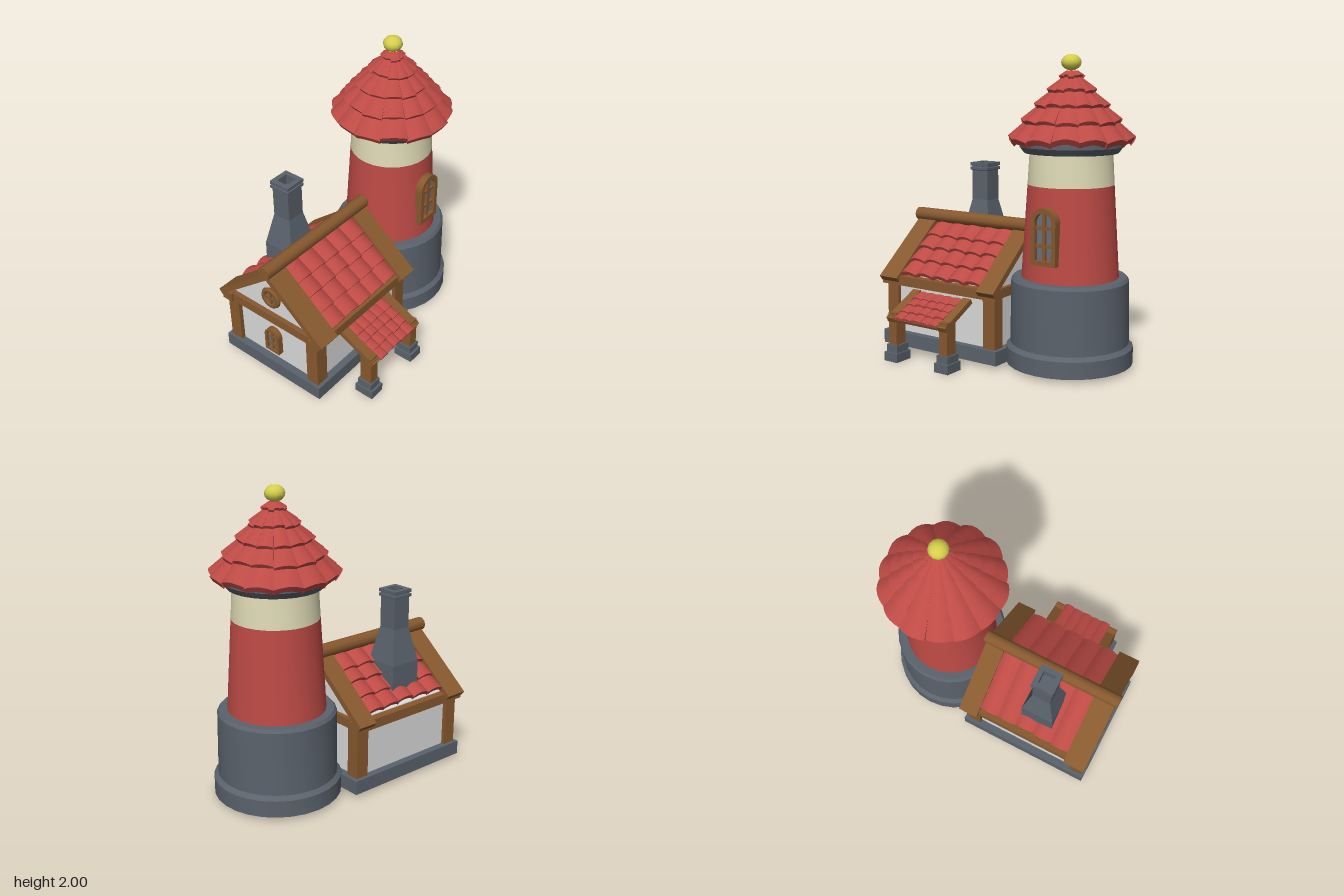
import * as THREE from 'three';
import { toCreasedNormals } from 'three/addons/utils/BufferGeometryUtils.js';

const paint = (name, color) => {
  const m = new THREE.MeshStandardMaterial({ color });
  m.name = name;
  return m;
};
const red = paint('red', 0xbd4a45);
const brown = paint('brown wood', 0x87592f);
const slate = paint('slate stone', 0x5a626c);
const cream = paint('cream', 0xdfdab6);
const white = paint('white plaster', 0xdadada);
const yellow = paint('yellow', 0xd6cf4c);
const glass = paint('window glass', 0x647081);

let seed = 7;
const jitter = (amount) => {
  seed = (seed * 16807) % 2147483647;
  return (seed / 2147483647 - 0.5) * 2 * amount;
};

function add(parent, name, geometry, material, x = 0, y = 0, z = 0) {
  const m = new THREE.Mesh(geometry, material);
  m.name = name;
  m.position.set(x, y, z);
  parent.add(m);
  return m;
}
function group(parent, name, x = 0, y = 0, z = 0) {
  const g = new THREE.Group();
  g.name = name;
  g.position.set(x, y, z);
  parent.add(g);
  return g;
}
// Box given by its limits on each axis
function box(parent, name, material, x0, x1, y0, y1, z0, z1) {
  return add(parent, name, new THREE.BoxGeometry(x1 - x0, y1 - y0, z1 - z0), material,
    (x0 + x1) / 2, (y0 + y1) / 2, (z0 + z1) / 2);
}
const lathe = (pts, sides = 28) => toCreasedNormals(
  new THREE.LatheGeometry(pts.map(([r, y]) => new THREE.Vector2(r, y)), sides), 0.5);
const extrude = (shape, depth) => new THREE.ExtrudeGeometry(shape, { depth, bevelEnabled: false, curveSegments: 8 });

// Arched outline standing on y = y0
function arch(path, w, y0, h) {
  const r = w / 2;
  path.moveTo(-r, y0);
  path.lineTo(r, y0);
  path.lineTo(r, y0 + h - r);
  path.absarc(0, y0 + h - r, r, 0, Math.PI, false);
  path.lineTo(-r, y0);
  return path;
}
// Arched window, back at z = 0, facing +z
function archedWindow(parent, name, w, h, depth, x, y, z) {
  const g = group(parent, name, x, y, z), f = w * 0.17;
  const shape = arch(new THREE.Shape(), w, 0, h);
  shape.holes.push(arch(new THREE.Path(), w - 2 * f, f, h - 2 * f));
  add(g, 'windowFrame', extrude(shape, depth), brown);
  add(g, 'windowPane', extrude(arch(new THREE.Shape(), w - f, f / 2, h - f), depth * 0.6), glass);
  const b = w * 0.06;
  box(g, 'windowBar', brown, -b, b, f, h - f, 0, depth * 0.85);
  for (const t of [0.34, 0.65]) box(g, 'windowBar', brown, -w / 2 + f, w / 2 - f, h * t - b, h * t + b, 0, depth * 0.83);
  return g;
}

// Rows of arched tiles running down +z, surface near y = 0
function tileField(parent, width, length, cols, rows, rise, thick) {
  const w = width / cols, step = length / rows;
  const shape = new THREE.Shape();
  shape.moveTo(-w / 2, -thick);
  shape.quadraticCurveTo(0, -thick + rise * 2, w / 2, -thick);
  shape.lineTo(w / 2, 0);
  shape.quadraticCurveTo(0, rise * 2, -w / 2, 0);
  const geo = toCreasedNormals(extrude(shape, step * 1.15), 0.6);
  for (let r = 0; r < rows; r++) for (let c = 0; c < cols; c++) {
    const t = add(parent, 'roofTile', geo, red, (c + 0.5) * w - width / 2, -thick * 0.6 + jitter(0.002),
      (r - 0.1) * step + (r ? jitter(0.006) : 0.1 * step));
    t.rotation.x = -0.75 * thick / step;
  }
}

function buildTower(root) {
  const tower = group(root, 'tower', 0.43, 0, -0.1);
  add(tower, 'towerBase', lathe([[0.31, 0.026], [0.412, 0.026], [0.412, 0.135], [0.385, 0.16],
    [0.38, 0.57], [0.365, 0.59], [0.3, 0.59]]), slate);
  // Inner faces seen through the open foot
  add(tower, 'innerRim', lathe([[0.31, 0.07], [0.31, 0.026]]), cream);
  add(tower, 'innerWall', lathe([[0, 0.575], [0.31, 0.575], [0.31, 0.07]]), white);
  add(tower, 'towerWall', lathe([[0.315, 0.58], [0.277, 1.185]]), red);
  add(tower, 'towerBand', lathe([[0.277, 1.185], [0.265, 1.39]]), cream);
  add(tower, 'towerCollar', lathe([[0.25, 1.385], [0.3, 1.385], [0.33, 1.425], [0.33, 1.455], [0.25, 1.46]]), slate);
  archedWindow(tower, 'towerWindow', 0.182, 0.36, 0.07, 0.002, 0.705, 0.26);

  // Conical tiled roof: each tile is a box bent around the cone
  const roof = group(tower, 'towerRoof');
  roof.rotation.y = Math.PI / 14;
  add(roof, 'roofCore', lathe([[0, 1.46], [0.35, 1.46], [0.04, 1.88]], 14), red);
  const lips = [[0.398, 1.475], [0.317, 1.585], [0.236, 1.685], [0.155, 1.78], [0.08, 1.865], [0.05, 1.91]];
  const n = 14, da = Math.PI * 2 / n;
  for (let i = 0; i < 5; i++) for (let k = 0; k < n; k++) {
    const [r1, y1] = lips[i], [r0, y0] = lips[i + 1];
    const geo = new THREE.BoxGeometry(1, 1, 1, 5, 1, 1), p = geo.attributes.position;
    const drop = jitter(0.007), turn = jitter(0.012);
    for (let j = 0; j < p.count; j++) {
      const u = p.getX(j) + 0.5, v = p.getZ(j) + 0.5, under = 0.5 - p.getY(j);
      let r = r0 - 0.015 + (r1 + drop - r0 + 0.015) * v;
      let y = y0 - 0.012 + (y1 - drop - y0 + 0.012) * v;
      const lift = 0.06 * r * (Math.sin(Math.PI * u) - 0.3) * (0.3 + 0.7 * v) - under * (0.012 + 0.07 * r);
      r += lift * 0.55;
      y += lift * 0.85;
      const a = (k + u) * da + turn * v;
      p.setXYZ(j, Math.sin(a) * r, y, Math.cos(a) * r);
    }
    add(roof, 'roofTile', toCreasedNormals(geo, 0.6), red);
  }
  const ball = add(tower, 'finial', new THREE.SphereGeometry(0.064, 12, 8), yellow, -0.006, 1.949, 0);
  ball.scale.y = 0.8;
}

function buildHouse(root) {
  const house = group(root, 'house', 0, 0, -0.112);
  box(house, 'foundation', slate, -0.83, 0.125, 0.026, 0.12, -0.41, 0.41);
  box(house, 'floor', white, -0.805, 0.1, 0.022, 0.027, -0.385, 0.385);

  // Plaster walls with gables
  const wall = new THREE.Shape();
  [[-0.36, 0.1], [0.36, 0.1], [0.36, 0.52], [0, 0.815], [-0.36, 0.52]]
    .forEach(([x, y], i) => (i ? wall.lineTo(x, y) : wall.moveTo(x, y)));
  add(house, 'walls', extrude(wall, 0.85), white, -0.78, 0, 0).rotation.y = Math.PI / 2;

  // Corner posts and beams
  for (const x of [-0.81, 0.005]) {
    for (const z of [-0.385, 0.295]) box(house, 'cornerPost', brown, x, x + 0.093, 0.12, 0.455, z, z + 0.09);
    box(house, 'gableBeam', brown, x - 0.003, x + 0.096, 0.45, 0.513, -0.38, 0.38);
  }
  for (const z of [-0.415, 0.335]) box(house, 'eaveBeam', brown, -0.83, 0.125, 0.45, 0.515, z, z + 0.08);

  // Two mirrored roof slopes
  for (const [turn, s, length] of [[0, 1, 0.48], [Math.PI, -1, 0.452]]) {
    const half = group(house, 'roofHalf');
    half.rotation.y = turn;
    const slope = group(half, 'roofSlope', 0, 0.87, 0);
    slope.rotation.x = Math.atan(0.82);
    for (const [x0, x1] of [[-0.83, -0.677], [-0.007, 0.128]])
      box(slope, 'bargeBoard', brown, Math.min(s * x0, s * x1), Math.max(s * x0, s * x1), -0.04, 0, 0, 0.578);
    const tiles = group(slope, 'roofTiles', s * -0.342, -0.012, 0.035);
    tileField(tiles, 0.67, length, 5, 4, 0.022, 0.028);
  }
  const ridge = add(house, 'ridgeBeam', new THREE.CylinderGeometry(0.046, 0.046, 0.99, 10), brown, -0.35, 0.88, 0);
  ridge.rotation.z = Math.PI / 2;

  // Gable end windows
  archedWindow(house, 'sideWindow', 0.12, 0.192, 0.045, -0.775, 0.193, 0).rotation.y = -Math.PI / 2;
  const round = group(house, 'roundWindow', -0.78, 0.65, 0);
  round.rotation.y = -Math.PI / 2;
  add(round, 'roundFrame', new THREE.TorusGeometry(0.06, 0.018, 6, 16), brown, 0, 0, 0.015);
  const pane = add(round, 'roundPane', new THREE.CylinderGeometry(0.06, 0.06, 0.02, 16), glass);
  pane.rotation.x = Math.PI / 2;
  box(round, 'roundBar', brown, -0.008, 0.008, -0.06, 0.06, 0, 0.025);
  box(round, 'roundBar', brown, -0.06, 0.06, -0.008, 0.008, 0, 0.024);
}

function buildChimney(root) {
  const chimney = group(root, 'chimney', -0.397, 0, -0.302);
  // Square hollow stack: four-sided lathe turned by 45 degrees
  const q = Math.SQRT2;
  const profile = [[0.115, 0.53], [0.113, 0.77], [0.065, 1.0], [0.065, 1.205], [0.075, 1.21], [0.075, 1.228],
    [0.066, 1.23], [0.066, 1.236], [0.075, 1.238], [0.075, 1.26], [0.042, 1.26], [0.042, 1.19], [0, 1.19]];
  const geo = new THREE.LatheGeometry(profile.map(([r, y]) => new THREE.Vector2(r * q, y)), 4);
  add(chimney, 'chimneyStack', toCreasedNormals(geo, 0.1), slate).rotation.y = Math.PI / 4;
}

function buildPorch(root) {
  const porch = group(root, 'porch', -0.334, 0, 0);
  for (const s of [-1, 1]) {
    const x = s * 0.212;
    box(porch, 'porchFoot', slate, x - 0.055, x + 0.055, 0, 0.06, 0.415, 0.55);
    box(porch, 'porchFootTop', slate, x - 0.045, x + 0.045, 0.06, 0.11, 0.425, 0.535);
    box(porch, 'porchPost', brown, x - 0.033, x + 0.033, 0.11, 0.325, 0.437, 0.525);
  }
  box(porch, 'porchBeam', brown, -0.245, 0.245, 0.282, 0.31, 0.45, 0.535);
  const slope = group(porch, 'porchRoof', 0, 0.433, 0.275);
  slope.rotation.x = Math.atan(0.5);
  box(slope, 'porchBoard', brown, -0.2, 0.2, -0.032, -0.014, 0, 0.3);
  for (const s of [-1, 1]) box(slope, 'porchBarge', brown, s * 0.2125 - 0.0325, s * 0.2125 + 0.0325, -0.035, 0, 0, 0.305);
  const tiles = group(slope, 'porchTiles', 0, 0.004, 0.012);
  tileField(tiles, 0.36, 0.295, 5, 4, 0.01, 0.016);
}

export function createModel() {
  const root = new THREE.Group();
  root.name = 'towerHouse';
  buildTower(root);
  buildHouse(root);
  buildChimney(root);
  buildPorch(root);
  return root;
}
